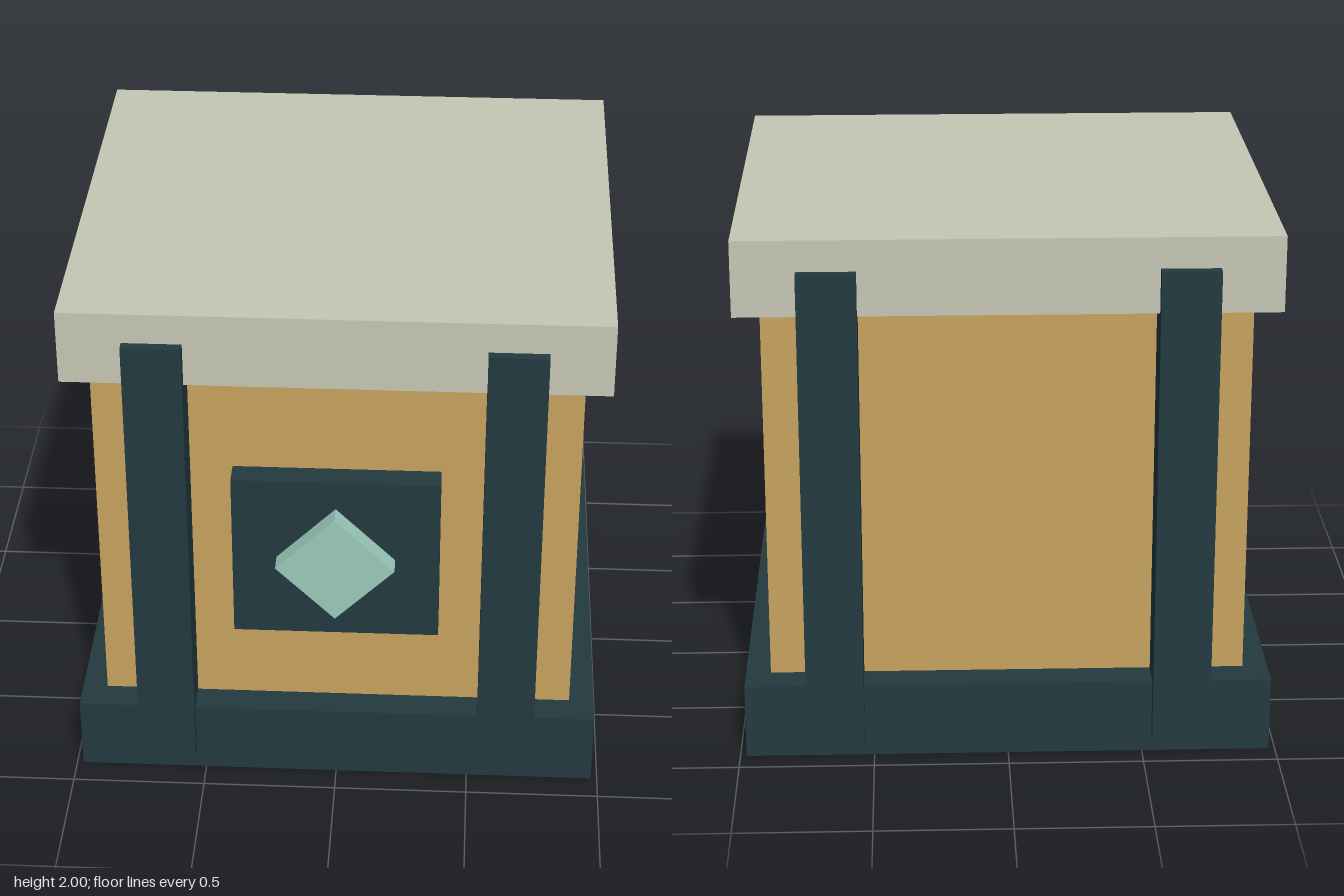
import * as THREE from 'three';

const mat = (name, color) => {
  const m = new THREE.MeshStandardMaterial({ color });
  m.name = name;
  return m;
};

export function createModel() {
  const crate = new THREE.Group();
  crate.name = 'crate';
  const dark = mat('dark teal', 0x223a40);
  const tan = mat('tan', 0xc8a35e);
  const stone = mat('pale stone', 0xc6c8b5);
  const mint = mat('mint', 0x9ccabb);

  // Box given by its minimum and maximum corners
  const box = (name, material, [x0, y0, z0], [x1, y1, z1]) => {
    const mesh = new THREE.Mesh(new THREE.BoxGeometry(x1 - x0, y1 - y0, z1 - z0), material);
    mesh.position.set((x0 + x1) / 2, (y0 + y1) / 2, (z0 + z1) / 2);
    mesh.name = name;
    crate.add(mesh);
    return mesh;
  };

  // Base, body and lid
  box('base', dark, [-0.977, 0, -0.91], [0.977, 0.285, 0.895]);
  box('body', tan, [-0.884, 0.285, -0.79], [0.884, 1.72, 0.78]);
  box('lid', stone, [-0.977, 1.72, -0.91], [0.977, 2, 0.895]);

  // Upright straps, two on the front and two on the back
  for (const [side, x] of [['Left', 0.642], ['Right', -0.642]]) {
    box('front' + side + 'Strap', dark, [x - 0.107, 0.073, 0.77], [x + 0.107, 1.885, 0.932]);
    box('back' + side + 'Strap', dark, [x - 0.107, 0.073, -0.95], [x + 0.107, 1.885, -0.78]);
  }

  // Lock plate with a diamond-shaped gem
  box('lockPlate', dark, [-0.38, 0.645, 0.77], [0.38, 1.31, 0.875]);
  const half = 0.154;
  const gem = box('gem', mint, [-half, 0.98 - half, 0.86], [half, 0.98 + half, 0.95]);
  gem.rotation.z = Math.PI / 4;

  return crate;
}
